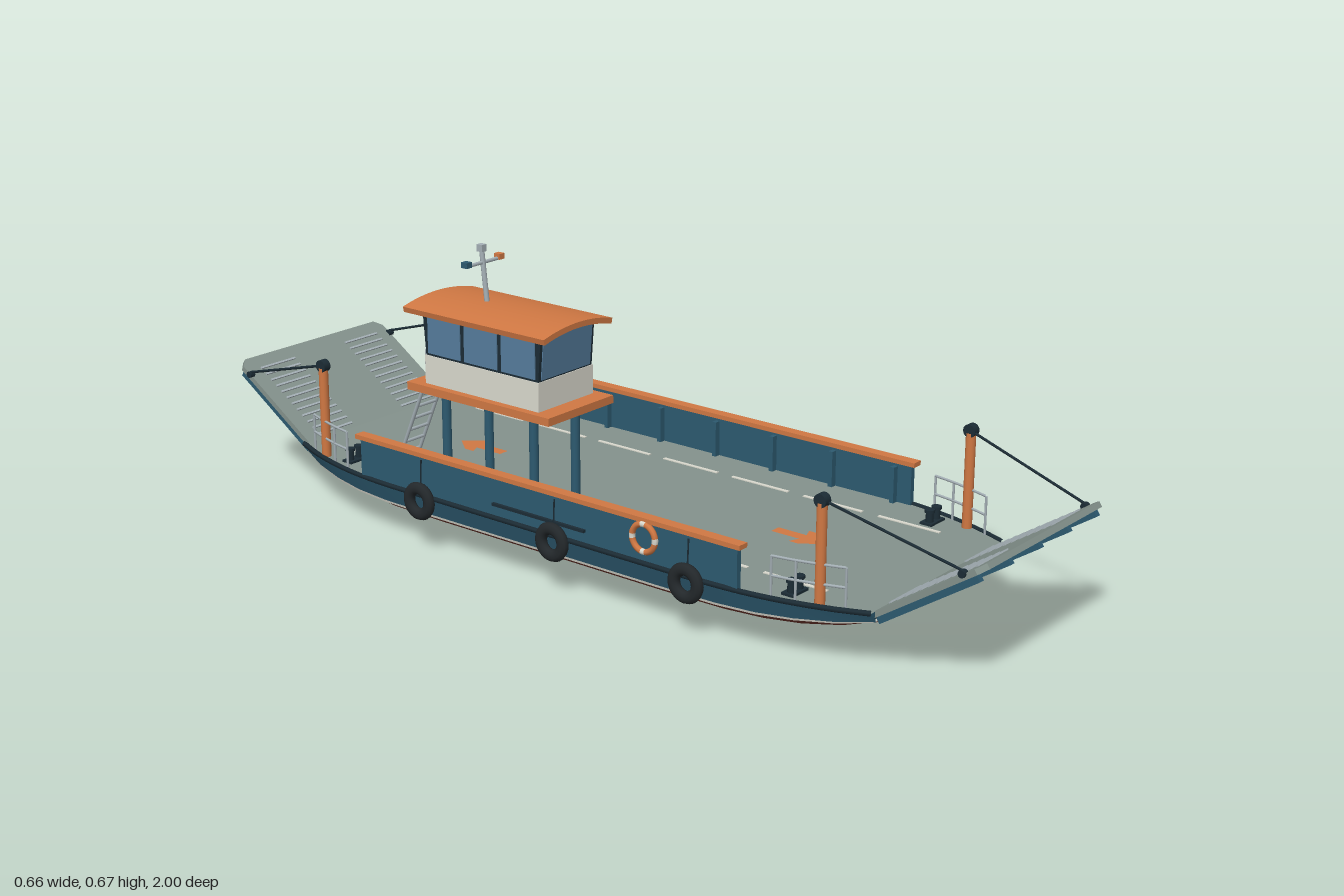
import * as THREE from 'three';
import { toCreasedNormals } from 'three/addons/utils/BufferGeometryUtils.js';

const mat = (name, color) => {
  const m = new THREE.MeshStandardMaterial({ color });
  m.name = name;
  return m;
};
const M = {
  teal: mat('teal paint', 0x2d5a70), red: mat('bottom red', 0x74392f), deck: mat('deck grey', 0x84928c),
  orange: mat('orange paint', 0xd07843), white: mat('white paint', 0xdad9ce), glass: mat('window glass', 0x557c9c),
  steel: mat('steel', 0xa5b0b6), dark: mat('dark fittings', 0x1c2c35), rubber: mat('rubber', 0x23282b),
};
M.stripe = M.white.clone();
M.stripe.name = 'stripe white';
M.stripe.side = THREE.DoubleSide;

const V = (x, y, z) => new THREE.Vector3(x, y, z);
function add(parent, name, geo, material, x = 0, y = 0, z = 0) {
  const m = new THREE.Mesh(geo, material);
  m.name = name;
  m.position.set(x, y, z);
  parent.add(m);
  return m;
}
// Box given by its extents
function box(parent, name, material, x0, x1, y0, y1, z0, z1) {
  return add(parent, name, new THREE.BoxGeometry(x1 - x0, y1 - y0, z1 - z0), material,
    (x0 + x1) / 2, (y0 + y1) / 2, (z0 + z1) / 2);
}
// Round bar between two points
function rod(parent, name, material, a, b, r, sides = 8) {
  const d = b.clone().sub(a);
  const m = add(parent, name, new THREE.CylinderGeometry(r, r, d.length(), sides), material);
  m.position.copy(a).add(b).multiplyScalar(0.5);
  m.quaternion.setFromUnitVectors(V(0, 1, 0), d.normalize());
  return m;
}
// Surface through rows of points
function loft(rows) {
  const n = rows[0].length, index = [];
  for (let i = 0; i < rows.length - 1; i++) for (let j = 0; j < n - 1; j++) {
    const a = i * n + j, b = a + n;
    index.push(a, b, a + 1, b, b + 1, a + 1);
  }
  const g = new THREE.BufferGeometry().setFromPoints(rows.flat());
  g.setIndex(index);
  return toCreasedNormals(g, 0.35);
}
const polygon = pts => new THREE.Shape(pts.map(p => new THREE.Vector2(p[0], p[1])));

// Hull stations: z, half width at deck, keel height, waterline height
const DECK = 0.125, END = 0.77;
const half = [[0.3, 0.312, 0, 0.075], [0.45, 0.311, 0.004, 0.076], [0.54, 0.303, 0.01, 0.078],
  [0.62, 0.288, 0.02, 0.083], [0.7, 0.265, 0.044, 0.091], [END, 0.237, 0.085, 0.103]];
const stations = [...half.map(s => [-s[0], s[1], s[2], s[3]]).reverse(), ...half];
function halfWidth(z) {
  z = Math.abs(z);
  for (let i = 1; i < half.length; i++) if (z <= half[i][0]) {
    const [a, b] = [half[i - 1], half[i]];
    return a[1] + (b[1] - a[1]) * Math.max(0, (z - a[0]) / (b[0] - a[0]));
  }
  return half[half.length - 1][1];
}
// Bottom section from the left waterline under the keel to the right
function bottomSection([z, w, k, wl]) {
  const pts = [[0.95, 1], [0.86, 0.76], [0.55, 0.33], [0.13, 0]].map(([f, t]) => [w * f, k + (wl - k) * t]);
  return [...pts, ...pts.map(p => [-p[0], p[1]]).reverse()].map(p => V(p[0], p[1], z));
}

function buildHull(g) {
  add(g, 'hullBottom', loft(stations.map(bottomSection)), M.red);
  for (const s of [1, -1]) {
    const band = (t0, t1, out) => stations.map(([z, w, , wl]) => {
      const p = t => V(s * (w * (0.95 + 0.05 * t) + out), wl + (DECK - wl) * t, z);
      return s > 0 ? [p(t1), p(t0)] : [p(t0), p(t1)];
    });
    add(g, 'hullSide', loft(band(0, 1, 0)), M.teal);
    add(g, 'waterlineStripe', loft(band(0.02, 0.13, 0.002)), M.stripe);
    const edge = new THREE.CatmullRomCurve3(stations.map(([z, w]) => V(s * w, DECK, z)));
    add(g, 'rubbingStrake', new THREE.TubeGeometry(edge, 48, 0.006, 6), M.dark);
  }
  // Flat ends below the ramps
  const last = half[half.length - 1], [, w, , wl] = last;
  for (const turn of [0, Math.PI]) {
    const end = new THREE.Group();
    end.name = 'hullEnd';
    end.rotation.y = turn;
    g.add(end);
    add(end, 'endBottom', new THREE.ShapeGeometry(polygon(bottomSection(last).map(p => [p.x, p.y]))), M.red, 0, 0, END);
    add(end, 'endPlate', new THREE.ShapeGeometry(polygon([[-w * 0.95, wl], [w * 0.95, wl], [w, DECK], [-w, DECK]])), M.teal, 0, 0, END);
    box(end, 'endStripe', M.white, -0.222, 0.222, 0.105, 0.109, END, END + 0.003);
  }
  const outline = [...stations.map(s => [s[1], s[0]]), ...stations.map(s => [-s[1], s[0]]).reverse()];
  add(g, 'deck', new THREE.ShapeGeometry(polygon(outline)), M.deck, 0, DECK, 0).rotation.x = -Math.PI / 2;
  // Lane lines
  for (const x of [-0.2, 0.2]) for (let i = -3; i <= 3; i++)
    box(g, 'laneDash', M.white, x - 0.004, x + 0.004, DECK, DECK + 0.002, i * 0.19 - 0.075, i * 0.19 + 0.075);
}

// Side wall with cap, frames, tyres and life ring
function buildSide(g, s) {
  const b = (name, m, x0, x1, ...r) => box(g, name, m, Math.min(s * x0, s * x1), Math.max(s * x0, s * x1), ...r);
  b('sideWall', M.teal, 0.297, 0.309, 0.12, 0.213, -0.51, 0.51);
  b('wallCap', M.orange, 0.291, 0.316, 0.212, 0.222, -0.52, 0.52);
  for (let i = -3; i <= 3; i++) b('wallFrame', M.teal, 0.283, 0.298, DECK, 0.205, i * 0.157 - 0.005, i * 0.157 + 0.005);
  b('wallStrip', M.dark, 0.309, 0.316, 0.152, 0.158, -0.12, 0.13);
  for (const z of [0.395, 0.05, -0.325]) {
    const tyre = add(g, 'tyreFender', new THREE.TorusGeometry(0.029, 0.0135, 10, 24), M.rubber, s * 0.321, 0.115, z);
    tyre.rotation.y = Math.PI / 2;
    tyre.scale.z = 0.8;
    rod(g, 'tyreRope', M.dark, V(s * 0.315, 0.15, z), V(s * 0.312, 0.205, z), 0.0018, 5);
  }
  for (let i = 0; i < 8; i++) {
    const white = i % 2, arc = white ? 0.35 : Math.PI / 2 - 0.35;
    const ring = add(g, 'lifeRing', new THREE.TorusGeometry(0.029, 0.0065, 8, 8, arc), white ? M.white : M.orange, s * 0.315, 0.18, 0.285);
    ring.rotation.set(0, Math.PI / 2, Math.floor(i / 2) * Math.PI / 2 + (white ? -0.175 : 0.175), 'YXZ');
  }
}

// Ramp and deck gear, built for the +z end
function buildEnd() {
  const g = new THREE.Group();
  g.name = 'endGear';
  const ramp = new THREE.Group();
  ramp.name = 'ramp';
  ramp.position.set(0, 0.12, 0.76);
  ramp.rotation.x = Math.PI / 2 - 0.583;
  g.add(ramp);
  const plate = polygon([[-0.225, 0], [0.225, 0], [0.225, 0.262], [0.207, 0.28], [-0.207, 0.28], [-0.225, 0.262]]);
  add(ramp, 'rampPlate', new THREE.ExtrudeGeometry(plate, { depth: 0.012, bevelEnabled: false }), M.deck);
  for (let i = -2; i <= 2; i++) box(ramp, 'rampRib', M.teal, i * 0.1075 - 0.0065, i * 0.1075 + 0.0065, 0.005, 0.258, 0.012, 0.026);
  for (const x of [-0.134, 0.134]) for (let i = 0; i < 12; i++)
    box(ramp, 'gripBar', M.steel, x - 0.053, x + 0.053, 0.02 + i * 0.02, 0.025 + i * 0.02, -0.003, 0);
  rod(g, 'rampHinge', M.dark, V(-0.225, 0.116, 0.768), V(0.225, 0.116, 0.768), 0.006);

  for (const s of [-1, 1]) {
    // Hoist post and cable
    rod(g, 'hoistPost', M.orange, V(s * 0.262, 0.12, 0.67), V(s * 0.262, 0.33, 0.67), 0.0105, 14);
    rod(g, 'hoistSheave', M.dark, V(s * 0.253, 0.335, 0.67), V(s * 0.271, 0.335, 0.67), 0.014, 14);
    rod(g, 'hoistCable', M.dark, V(s * 0.26, 0.335, 0.67), V(s * 0.224, 0.255, 0.955), 0.003, 6);
    rod(g, 'cableEye', M.dark, V(s * 0.218, 0.25, 0.955), V(s * 0.231, 0.25, 0.955), 0.008);
    // Guard rail following the deck edge
    const zs = [0.575, 0.625, 0.675, 0.72], at = (z, y) => V(s * (halfWidth(z) - 0.008), y, z);
    for (const z of zs) rod(g, 'railPost', M.steel, at(z, DECK), at(z, 0.208), 0.003, 6);
    for (const y of [0.168, 0.208])
      add(g, 'guardRail', new THREE.TubeGeometry(new THREE.CatmullRomCurve3(zs.map(z => at(z, y))), 10, 0.003, 6), M.steel);
    // Twin bollards
    box(g, 'bollardBase', M.dark, s * 0.243 - 0.026, s * 0.243 + 0.026, DECK, DECK + 0.005, 0.585, 0.613);
    for (const dx of [-0.013, 0.013]) {
      rod(g, 'bollard', M.dark, V(s * 0.243 + dx, DECK, 0.6), V(s * 0.243 + dx, 0.152, 0.6), 0.008, 12);
      rod(g, 'bollardCap', M.dark, V(s * 0.243 + dx, 0.151, 0.6), V(s * 0.243 + dx, 0.157, 0.6), 0.011, 12);
    }
  }
  // Direction arrow on the deck
  const arrow = polygon([[-0.013, -0.375], [-0.013, -0.445], [-0.036, -0.435], [-0.036, -0.46], [0, -0.505],
    [0.036, -0.46], [0.036, -0.435], [0.013, -0.445], [0.013, -0.375]]);
  add(g, 'deckArrow', new THREE.ShapeGeometry(arrow), M.orange, 0, DECK + 0.002, 0).rotation.x = -Math.PI / 2;
  return g;
}

function buildWheelhouse(g) {
  for (const x of [-0.282, -0.153]) for (const z of [-0.03, -0.275])
    rod(g, 'supportLeg', M.teal, V(x, DECK, z), V(x, 0.365, z), 0.01, 12);
  box(g, 'platform', M.orange, -0.319, -0.117, 0.359, 0.376, -0.352, 0.043);
  box(g, 'cabinBody', M.white, -0.302, -0.133, 0.376, 0.438, -0.314, 0.002);
  // Window band, flaring slightly toward the top
  const band = new THREE.BoxGeometry(0.165, 0.097, 0.312), p = band.attributes.position;
  for (let i = 0; i < p.count; i++) if (p.getY(i) > 0) p.setZ(i, p.getZ(i) * 1.05);
  band.computeVertexNormals();
  add(g, 'windowFrame', band, M.dark, -0.2175, 0.4855, -0.156);
  const lean = Math.atan2(0.0078, 0.097);
  for (const s of [1, -1]) {
    const pane = add(g, 'endWindow', new THREE.BoxGeometry(0.15, 0.088, 0.004), M.glass, -0.2175, 0.4855, -0.156 + s * 0.16);
    pane.rotation.x = s * lean;
    for (let i = -1; i <= 1; i++)
      box(g, 'sideWindow', M.glass, -0.2175 + s * 0.0825 - 0.002, -0.2175 + s * 0.0825 + 0.002, 0.443, 0.528, -0.156 + i * 0.103 - 0.046, -0.156 + i * 0.103 + 0.046);
  }
  box(g, 'cabinTop', M.white, -0.298, -0.137, 0.533, 0.543, -0.317, 0.005);
  // Arched roof
  const arc = (y0, h, w, n = 12) => Array.from({ length: n + 1 }, (_, i) => {
    const t = (i / n) * 2 - 1;
    return [t * w, y0 + h * (1 - t * t)];
  });
  const roof = new THREE.ExtrudeGeometry(polygon([...arc(0.528, 0.014, 0.103), ...arc(0.54, 0.014, 0.106).reverse()]), { depth: 0.39, bevelEnabled: false });
  add(g, 'roof', toCreasedNormals(roof, 0.5), M.orange, -0.219, 0, -0.352);
  // Mast with side lights
  rod(g, 'mast', M.steel, V(-0.218, 0.545, -0.212), V(-0.218, 0.662, -0.225), 0.0055, 10);
  box(g, 'mastLight', M.steel, -0.225, -0.211, 0.658, 0.673, -0.233, -0.218);
  rod(g, 'mastCrossbar', M.steel, V(-0.272, 0.635, -0.222), V(-0.164, 0.635, -0.222), 0.004);
  box(g, 'rightLight', M.teal, -0.275, -0.26, 0.633, 0.645, -0.23, -0.214);
  box(g, 'leftLight', M.orange, -0.176, -0.161, 0.633, 0.645, -0.23, -0.214);
  // Access ladder
  for (const x of [-0.264, -0.206]) {
    rod(g, 'ladderRail', M.steel, V(x, DECK, -0.458), V(x, 0.375, -0.347), 0.004);
    rod(g, 'ladderHandrail', M.steel, V(x, 0.37, -0.347), V(x, 0.435, -0.347), 0.0035);
  }
  for (let i = 1; i <= 8; i++) {
    const t = i / 8.5, y = DECK + 0.25 * t, z = -0.458 + 0.111 * t;
    rod(g, 'ladderRung', M.steel, V(-0.264, y, z), V(-0.206, y, z), 0.0035, 6);
  }
}

export function createModel() {
  const model = new THREE.Group();
  model.name = 'vehicleFerry';
  const part = (name, build) => {
    const g = new THREE.Group();
    g.name = name;
    build(g);
    model.add(g);
  };
  part('hull', buildHull);
  part('leftSide', g => buildSide(g, 1));
  part('rightSide', g => buildSide(g, -1));
  part('wheelhouse', buildWheelhouse);
  const front = buildEnd(), back = buildEnd();
  front.name = 'frontEnd';
  back.name = 'backEnd';
  back.rotation.y = Math.PI;
  model.add(front, back);
  return model;
}
